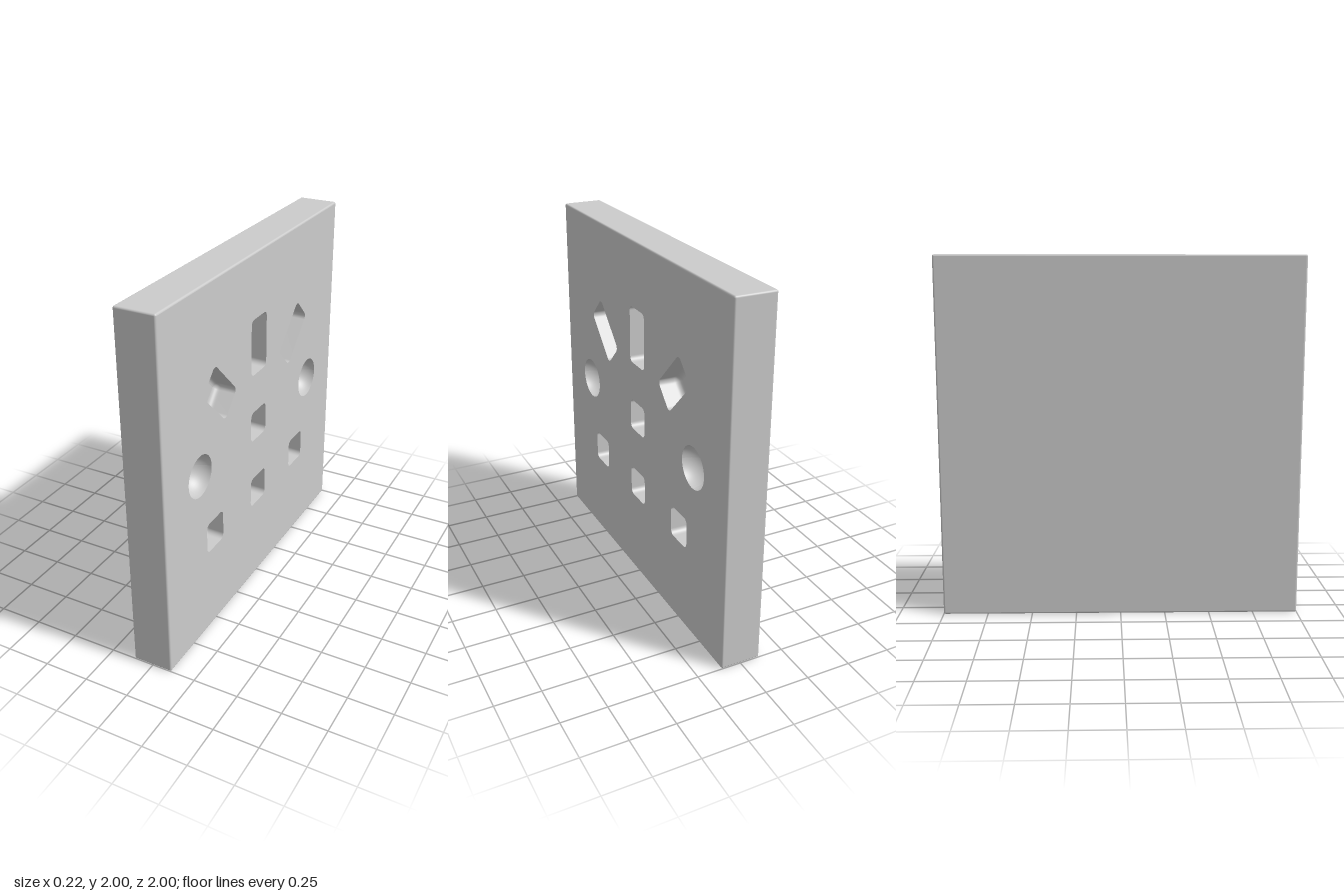
import * as THREE from 'three';

const HALF = 0.112;    // half the slab thickness
const EDGE = 0.01;     // edge rounding of the slab
const DEPTH = 0.12;    // pocket depth

// Counter-clockwise rounded rectangle, shrunk by an inset, turned and moved into place
function outline({ w, h, r, x = 0, y = 0, turn = 0, segs = 8 }, inset = 0) {
  const points = [];
  const radius = Math.max(r - inset, 0);
  for (let corner = 0; corner < 4; corner++) {
    const sx = corner === 0 || corner === 3 ? 1 : -1;
    const sy = corner < 2 ? 1 : -1;
    for (let i = 0; i <= segs; i++) {
      const a = (corner + i / segs) * Math.PI / 2;
      const p = new THREE.Vector2(
        sx * (w / 2 - inset - radius) + radius * Math.cos(a),
        sy * (h / 2 - inset - radius) + radius * Math.sin(a));
      points.push(p.rotateAround(new THREE.Vector2(), turn).add(new THREE.Vector2(x, y)));
    }
  }
  return points;
}

// Smooth skin through a stack of outlines, given as [inset, z] pairs
function skin(form, profile) {
  const positions = [], index = [];
  const n = outline(form).length;
  profile.forEach(([inset, z], i) => {
    outline(form, inset).forEach((p, j) => {
      positions.push(p.x, p.y, z);
      if (i === profile.length - 1) return;
      const a = i * n + j, b = i * n + (j + 1) % n;
      index.push(a, b, b + n, a, b + n, a + n);
    });
  });
  const geometry = new THREE.BufferGeometry();
  geometry.setAttribute('position', new THREE.Float32BufferAttribute(positions, 3));
  geometry.setIndex(index);
  geometry.computeVertexNormals();
  return geometry;
}

// Quarter-round profile from the wall (inset 0) to the flat (inset = radius)
function fillet(radius, z, direction, steps) {
  return Array.from({ length: steps + 1 }, (_, i) => {
    const a = i / steps * Math.PI / 2;
    return [radius * (1 - Math.cos(a)), z + direction * radius * Math.sin(a)];
  });
}

export function createModel() {
  const model = new THREE.Group();
  model.name = 'panel';
  const board = new THREE.Group();
  board.name = 'board';
  board.rotation.y = Math.PI / 2;   // the pocketed face looks towards +x
  model.add(board);
  const material = new THREE.MeshStandardMaterial({ color: 0xcccccc });

  const add = (name, geometry, parent = board) => {
    const mesh = new THREE.Mesh(geometry, material);
    mesh.name = name;
    parent.add(mesh);
    return mesh;
  };

  // Pockets: three squares below, one in the middle, three slots fanned above, two bowls
  const square = { w: 0.177, h: 0.177, r: 0.03, f: 0.03, depth: DEPTH };
  const slot = { ...square, h: 0.32 };
  const bowl = { w: 0.234, h: 0.234, r: 0.117, f: 0.117, depth: 0.117, segs: 14 };
  const pockets = [
    { ...square, name: 'squarePocketCentre', x: 0, y: 1.004 },
    { ...square, name: 'squarePocketLower', x: 0, y: 0.581 },
    { ...slot, name: 'slotPocketTop', x: 0, y: 1.477 },
  ];
  for (const s of [-1, 1]) {
    const side = s < 0 ? 'Front' : 'Back';
    pockets.push(
      { ...square, name: 'squarePocket' + side, x: s * 0.506, y: 0.581 },
      { ...slot, name: 'slotPocket' + side, x: s * 0.434, y: 1.376, turn: -s * Math.PI / 4 },
      { ...bowl, name: 'bowlPocket' + side, x: s * 0.651, y: 1.004 });
  }

  // Slab: rounded rim, plain rear face, and pierced face
  const slab = { w: 2, h: 2, r: EDGE, y: 1, segs: 4 };
  add('slabRim', skin(slab, [
    ...fillet(EDGE, -HALF + EDGE, -1, 4).reverse(),
    ...fillet(EDGE, HALF - EDGE, 1, 4),
  ]));
  const flat = new THREE.Shape(outline(slab, EDGE * 0.999));
  const rear = add('rearFace', new THREE.ShapeGeometry(flat));
  rear.rotation.y = Math.PI;
  rear.position.z = -HALF;
  const pierced = flat.clone();
  pierced.holes = pockets.map(p => new THREE.Path(outline(p)));
  add('pocketedFace', new THREE.ShapeGeometry(pierced)).position.z = HALF;

  // Pocket walls with rounded bottoms, and flat floors where there is room for one
  for (const p of pockets) {
    const group = new THREE.Group();
    group.name = p.name;
    board.add(group);
    const curve = fillet(p.f, HALF - p.depth + p.f, -1, p.f > 0.1 ? 14 : 6);
    const straight = p.depth > p.f ? [[0, HALF], [0, HALF - (p.depth - p.f) * 0.9]] : [];
    add('pocketWall', skin(p, [...straight, ...curve]), group);
    if (p.f < p.w / 2) {
      const floor = new THREE.Shape(outline({ ...p, segs: 1 }, p.f * 0.999));
      add('pocketFloor', new THREE.ShapeGeometry(floor), group).position.z = HALF - p.depth;
    }
  }
  return model;
}
